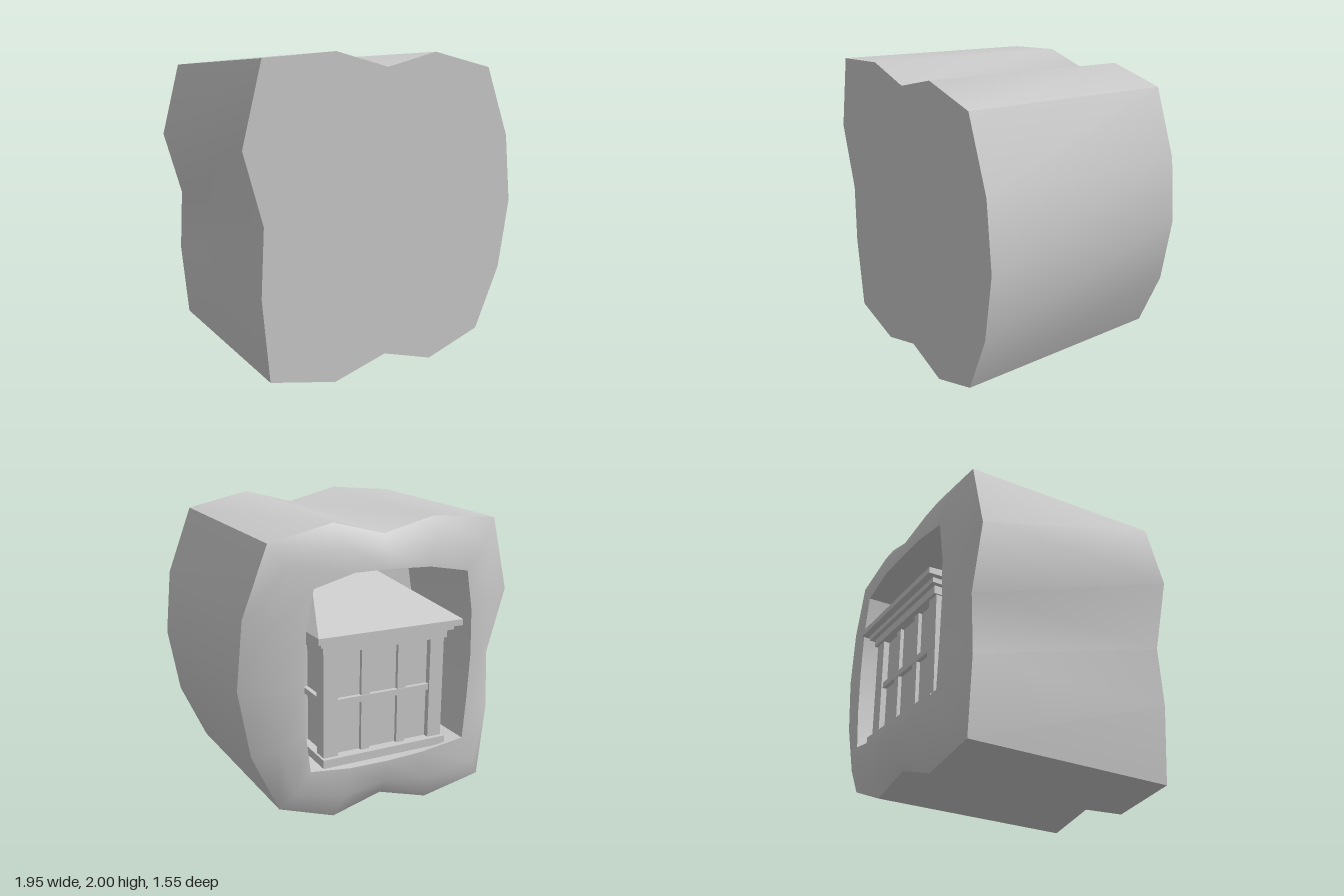
import * as THREE from 'three';
import { toCreasedNormals } from 'three/addons/utils/BufferGeometryUtils.js';
import { ConvexGeometry } from 'three/addons/geometries/ConvexGeometry.js';

const grey = new THREE.MeshStandardMaterial({ color: 0xcccccc });

// Outline of the block and of its window opening, clockwise from the top left
const outline = [
  [-0.85, 1.96], [-0.38, 2], [-0.02, 1.91], [0.33, 2], [0.755, 1.905], [0.925, 1.46], [0.97, 1.02], [0.895, 0.57],
  [0.715, 0.165], [0.33, 0.025], [-0.02, 0.12], [-0.38, 0.005], [-0.82, 0.09], [-0.87, 0.6], [-0.85, 1.02], [-0.975, 1.46],
];
const opening = [
  [-0.575, 1.61], [-0.3, 1.66], [-0.02, 1.67], [0.22, 1.67], [0.49, 1.6], [0.54, 1.35], [0.557, 1.03], [0.55, 0.72],
  [0.52, 0.457], [0.25, 0.425], [-0.02, 0.42], [-0.28, 0.43], [-0.594, 0.47], [-0.615, 0.75], [-0.63, 1.05], [-0.62, 1.35],
];
const WALL_Z = 0; // back wall of the recess

function blockGeometry() {
  const narrowed = outline.map(([x, y]) => [x * 0.972, 1 + (y - 1) * 0.957]);
  const between = narrowed.map(([x, y], i) => [
    x + (opening[i][0] - x) * 0.45, y + (opening[i][1] - y) * 0.45]);
  // Cross-sections from the flat front, round the rim and into the recess
  const rings = [
    [outline, 0.775], [narrowed, -0.645], [between, -0.722], [opening, -0.735], [opening, WALL_Z],
  ].map(([pts, z]) => pts.map(([x, y]) => new THREE.Vector3(x, y, z)));
  const out = [];
  const n = outline.length;
  for (let k = 0; k < rings.length - 1; k++) {
    for (let i = 0; i < n; i++) {
      const j = (i + 1) % n;
      const [a, b, c, d] = [rings[k][i], rings[k][j], rings[k + 1][i], rings[k + 1][j]];
      out.push(a, b, c, b, d, c);
    }
  }
  // Flat caps: the front faces +z, the recess wall faces -z
  const cap = (ring, clockwise) => {
    const flat = ring.map((p) => new THREE.Vector2(p.x, p.y));
    for (const t of THREE.ShapeUtils.triangulateShape(flat, [])) {
      if (THREE.ShapeUtils.isClockWise(t.map((i) => flat[i])) !== clockwise) t.reverse();
      out.push(...t.map((i) => ring[i]));
    }
  };
  cap(rings[0], false);
  cap(rings[rings.length - 1], true);
  return toCreasedNormals(new THREE.BufferGeometry().setFromPoints(out), 0.7);
}

function mesh(parent, name, geometry) {
  const m = new THREE.Mesh(geometry, grey);
  m.name = name;
  parent.add(m);
  return m;
}

// Box given by its limits on each axis
function box(parent, name, [x0, x1], [y0, y1], [z0, z1]) {
  const m = mesh(parent, name, new THREE.BoxGeometry(x1 - x0, y1 - y0, z1 - z0));
  m.position.set((x0 + x1) / 2, (y0 + y1) / 2, (z0 + z1) / 2);
}

function bayWindow() {
  const bay = new THREE.Group();
  bay.name = 'bayWindow';
  bay.position.x = -0.025;
  const front = -0.68;

  box(bay, 'sill', [-0.445, 0.445], [0.445, 0.5], [front - 0.03, WALL_Z]);
  box(bay, 'panes', [-0.39, 0.39], [0.5, 1.2], [front + 0.04, WALL_Z]);
  box(bay, 'head', [-0.44, 0.44], [1.18, 1.235], [front - 0.02, WALL_Z]);
  box(bay, 'soffit', [-0.47, 0.47], [1.235, 1.27], [front - 0.05, WALL_Z]);
  box(bay, 'eave', [-0.505, 0.505], [1.27, 1.31], [-0.775, WALL_Z]);

  // Front glazing bars
  for (const x of [-0.13, 0.13]) {
    box(bay, 'mullion', [x - 0.03, x + 0.03], [0.5, 1.18], [front + 0.015, front + 0.05]);
  }
  box(bay, 'transom', [-0.33, 0.33], [0.83, 0.87], [front + 0.01, front + 0.05]);

  // Corner posts and side glazing bars
  for (const s of [-1, 1]) {
    const span = (a, b) => [Math.min(s * a, s * b), Math.max(s * a, s * b)];
    box(bay, 'cornerPost', span(0.33, 0.43), [0.5, 1.18], [front, front + 0.1]);
    box(bay, 'wallPost', span(0.33, 0.43), [0.5, 1.18], [WALL_Z - 0.08, WALL_Z]);
    box(bay, 'sideMullion', span(0.38, 0.415), [0.5, 1.18], [-0.36, -0.3]);
    box(bay, 'sideTransom', span(0.38, 0.42), [0.83, 0.87], [front + 0.1, WALL_Z - 0.08]);
  }

  // Hipped roof leaning on the recess wall
  const corners = [];
  for (const s of [-1, 1]) {
    corners.push(
      new THREE.Vector3(s * 0.505, 1.31, -0.775),
      new THREE.Vector3(s * 0.505, 1.31, WALL_Z),
      new THREE.Vector3(s * 0.205, 1.56, WALL_Z));
  }
  mesh(bay, 'roof', new ConvexGeometry(corners));
  return bay;
}

export function createModel() {
  const model = new THREE.Group();
  model.name = 'blockWithBayWindow';
  mesh(model, 'block', blockGeometry());
  model.add(bayWindow());
  return model;
}
